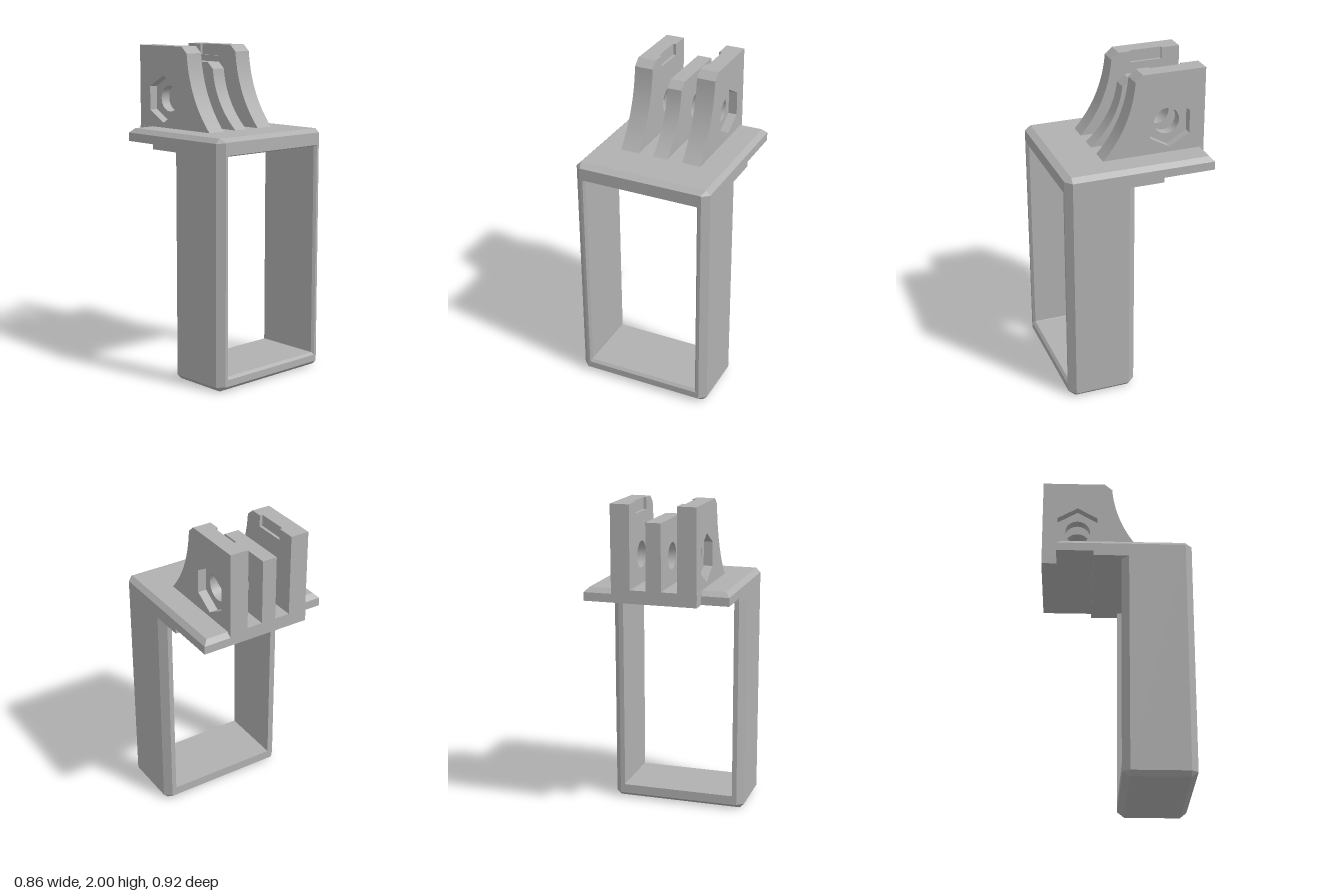
import * as THREE from 'three';
import { toCreasedNormals } from 'three/addons/utils/BufferGeometryUtils.js';

// Flat-shaded skin through rings of points; either a closed loop of rings or capped ends
function loft(rings, capTriangles) {
  const pos = [];
  const tri = (...pts) => pts.forEach(p => pos.push(...p));
  const n = rings[0].length;
  const count = capTriangles ? rings.length - 1 : rings.length;
  for (let i = 0; i < count; i++) {
    const A = rings[i], B = rings[(i + 1) % rings.length];
    for (let j = 0; j < n; j++) {
      const k = (j + 1) % n;
      tri(A[j], B[k], A[k]);
      tri(A[j], B[j], B[k]);
    }
  }
  if (capTriangles) {
    const last = rings[rings.length - 1];
    for (const [a, b, c] of capTriangles) {
      tri(rings[0][a], rings[0][b], rings[0][c]);
      tri(last[a], last[c], last[b]);
    }
  }
  const g = new THREE.BufferGeometry();
  g.setAttribute('position', new THREE.Float32BufferAttribute(pos, 3));
  g.computeVertexNormals();
  return g;
}

// Rectangle with cut corners, at depth z
const cutRect = (z, w, y0, y1, c) => [
  [-w + c, y0, z], [w - c, y0, z], [w, y0 + c, z], [w, y1 - c, z],
  [w - c, y1, z], [-w + c, y1, z], [-w, y1 - c, z], [-w, y0 + c, z],
];

// Upright fin slice in the z-y plane, running from x0 to x1
function finSlice(x0, x1, top, hole, notch) {
  const s = new THREE.Shape(); // shape x is -z
  s.moveTo(-0.18, 1.45);
  s.lineTo(0.46, 1.42);
  s.lineTo(0.46, top);
  if (notch) {
    s.lineTo(0.345, top);
    s.lineTo(0.345, top - 0.07);
    s.lineTo(0.145, top - 0.07);
    s.lineTo(0.145, top);
  }
  s.lineTo(0.068, top);
  s.lineTo(0.022, top - 0.04);
  s.quadraticCurveTo(0, 1.5 + (top - 1.54) * 0.42, -0.178, 1.5);
  s.closePath();
  const h = new THREE.Path();
  if (hole === 'hex') {
    h.setFromPoints(Array.from({ length: 6 }, (_, i) => {
      const a = Math.PI / 2 - i * Math.PI / 3;
      return new THREE.Vector2(0.24 + 0.145 * Math.cos(a), 1.675 + 0.145 * Math.sin(a));
    }));
    h.closePath();
  } else {
    h.absarc(0.24, 1.675, 0.08, 0, Math.PI * 2, true);
  }
  s.holes.push(h);
  const g = new THREE.ExtrudeGeometry(s, { depth: x1 - x0, bevelEnabled: false, curveSegments: 20 });
  g.rotateY(Math.PI / 2);
  g.translate(x0, 0, 0);
  return toCreasedNormals(g, 0.4);
}

export function createModel() {
  const group = new THREE.Group();
  const grey = new THREE.MeshStandardMaterial({ color: 0xb0b0b0 });
  grey.name = 'grey plastic';
  const add = (name, geometry, parent = group) => {
    const m = new THREE.Mesh(geometry, grey);
    m.name = name;
    parent.add(m);
    return m;
  };

  // Chamfered rectangular frame with a through opening
  add('frame', loft([
    cutRect(0.46, 0.39, 0.03, 1.478, 0.003),
    cutRect(0.42, 0.43, 0, 1.5, 0.028),
    cutRect(0.075, 0.43, 0, 1.5, 0.028),
    cutRect(0.03, 0.39, 0.03, 1.478, 0.003),
    cutRect(0.03, 0.36, 0.088, 1.395, 0.002),
    cutRect(0.445, 0.36, 0.088, 1.395, 0.002),
    cutRect(0.46, 0.373, 0.072, 1.402, 0.002),
  ]));

  // Top plate reaching back, with chamfered rim and one shorter rear corner
  const outline = [[-0.43, 0.08], [0.43, 0.08], [0.43, -0.46], [0.262, -0.46],
    [0.257, -0.46], [-0.262, -0.46], [-0.262, -0.367], [-0.43, -0.367]];
  const rim = [[-0.402, 0.08], [0.402, 0.08], [0.402, -0.434], [0.262, -0.434],
    [0.257, -0.46], [-0.262, -0.46], [-0.262, -0.338], [-0.402, -0.338]];
  const at = (pts, y) => pts.map(([x, z]) => [x, y, z]);
  const caps = THREE.ShapeUtils.triangulateShape(
    outline.map(([x, z]) => new THREE.Vector2(x, -z)), []);
  add('topPlate', loft([at(rim, 1.5), at(outline, 1.472), at(outline, 1.42)], caps));

  // Thicker step under the plate
  const step = add('plateStep', new THREE.BoxGeometry(0.86, 0.04, 0.215));
  step.position.set(0, 1.41, -0.0325);

  // Mounting fins: outer pair with hex nut pockets and inner top notches
  for (const side of [1, -1]) {
    const fin = new THREE.Group();
    fin.name = side > 0 ? 'leftFin' : 'rightFin';
    group.add(fin);
    const slice = (name, a, b, hole, notch) =>
      add(name, finSlice(side > 0 ? a : -b, side > 0 ? b : -a, 2, hole, notch), fin);
    slice('nutPocketSlice', 0.205, 0.259, 'hex', false);
    slice('boltSlice', 0.161, 0.205, 'round', false);
    slice('notchedSlice', 0.143, 0.161, 'round', true);
  }
  add('middleFin', finSlice(-0.047, 0.045, 1.9, 'round', false));

  return group;
}
